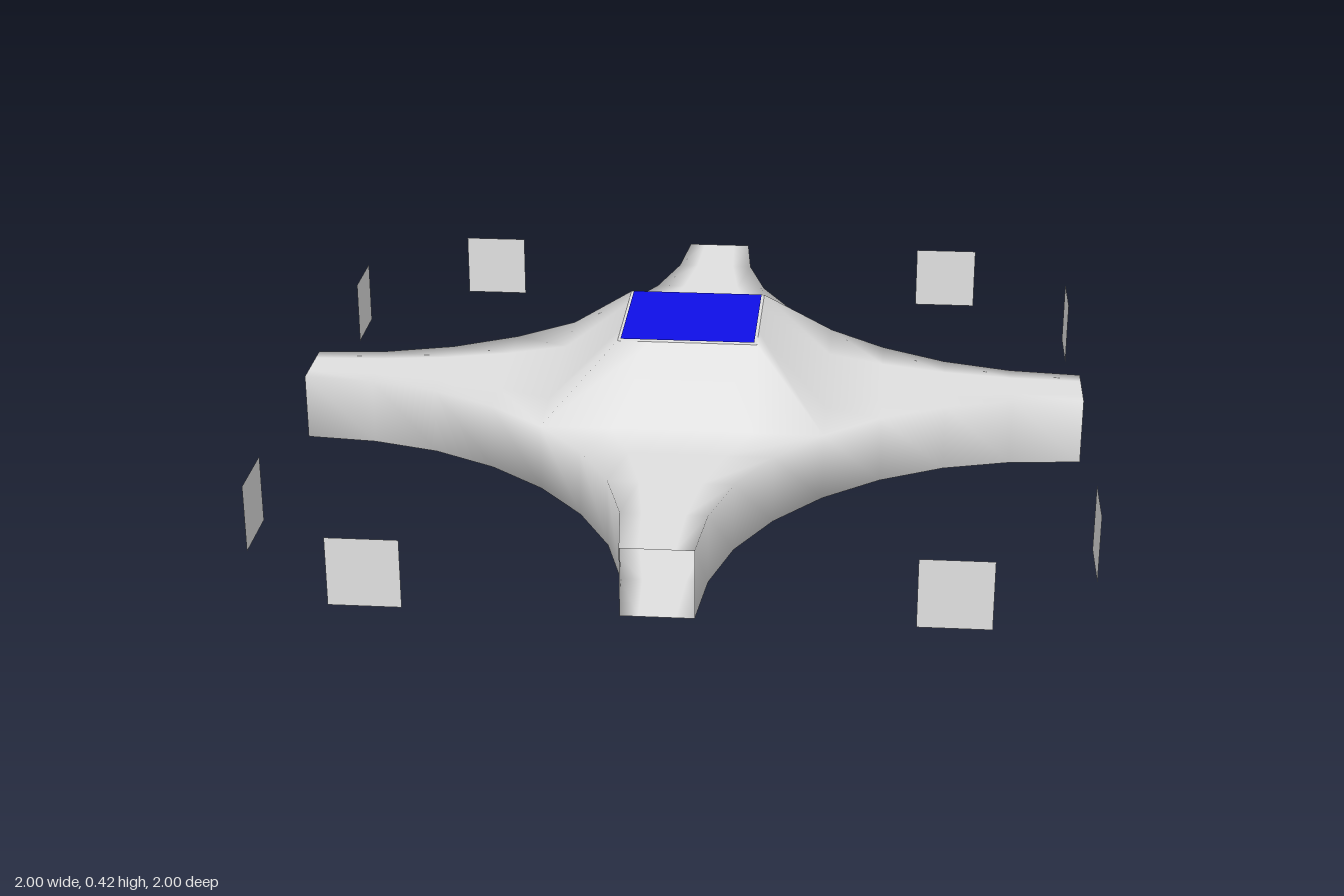
import * as THREE from 'three';
import { mergeGeometries, mergeVertices } from 'three/addons/utils/BufferGeometryUtils.js';

const grey = new THREE.MeshStandardMaterial({ color: 0xe0e0e0, side: THREE.DoubleSide });
grey.name = 'pale grey';
const blue = new THREE.MeshStandardMaterial({ color: 0x1010f0, side: THREE.DoubleSide });
blue.name = 'blue';

const LOW = 0.085, HIGH = 0.255, TOP = 0.418, MID = 0.17;

// Stations from the open tip inward: distance, half width, bottom y, top y
const STATIONS = [
  [1, 0.085, LOW, HIGH],
  [0.82, 0.102, LOW, HIGH],
  [0.65, 0.15, LOW, HIGH],
  [0.49, 0.235, LOW, HIGH],
  [0.35, 0.35, LOW, HIGH],
  [0.175, 0.175, 0.002, TOP],
];

// One quarter of the shell: a flaring square tube that rises into the hub
function quarterGeometry() {
  const across = [-1, -0.5, 0, 0.5, 1];
  const rings = STATIONS.map(([d, w, low, high]) => [
    ...across.map((f) => [f * w, high, d]),
    ...across.map((f) => [-f * w, low, d]),
  ]);
  const positions = [];
  for (let i = 0; i < rings.length - 1; i++) {
    const hub = i === rings.length - 2;
    for (let k = 0; k < 10; k++) {
      if (hub && k % 5 === 4) continue; // the hub section has no side walls
      const n = (k + 1) % 10;
      const [a, b, c, d] = [rings[i][k], rings[i][n], rings[i + 1][n], rings[i + 1][k]];
      positions.push(...a, ...b, ...c, ...a, ...c, ...d);
    }
  }
  const g = new THREE.BufferGeometry();
  g.setAttribute('position', new THREE.Float32BufferAttribute(positions, 3));
  return g;
}

export function createModel() {
  const model = new THREE.Group();
  model.name = 'fourWayJunction';

  const add = (name, geometry, material, x, y, z, rx = 0, ry = 0) => {
    const mesh = new THREE.Mesh(geometry, material);
    mesh.name = name;
    mesh.position.set(x, y, z);
    mesh.rotation.set(rx, ry, 0);
    model.add(mesh);
  };

  // Hollow shell with four arms, welded for smooth shading
  const quarters = [0, 1, 2, 3].map((i) => quarterGeometry().rotateY((i * Math.PI) / 2));
  const shell = mergeVertices(mergeGeometries(quarters), 1e-4);
  shell.computeVertexNormals();
  add('shell', shell, grey, 0, 0, 0);

  // Hub caps with inset blue panels, top and bottom
  const cap = new THREE.PlaneGeometry(0.35, 0.35);
  const panel = new THREE.PlaneGeometry(0.336, 0.336);
  add('topCap', cap, grey, 0, TOP, 0, -Math.PI / 2);
  add('topPanel', panel, blue, 0, 0.421, 0, -Math.PI / 2);
  add('bottomCap', cap, grey, 0, 0.003, 0, Math.PI / 2);
  add('bottomPanel', panel, blue, 0, 0, 0, Math.PI / 2);

  // Eight free-standing square plates level with the arm ends
  const plate = new THREE.PlaneGeometry(0.17, 0.17);
  for (let i = 0; i < 4; i++) {
    const turn = (i * Math.PI) / 2;
    for (const side of [-0.667, 0.667]) {
      const p = new THREE.Vector3(side, MID, 1).applyAxisAngle(new THREE.Vector3(0, 1, 0), turn);
      add('endPlate', plate, grey, p.x, p.y, p.z, 0, turn);
    }
  }
  return model;
}
